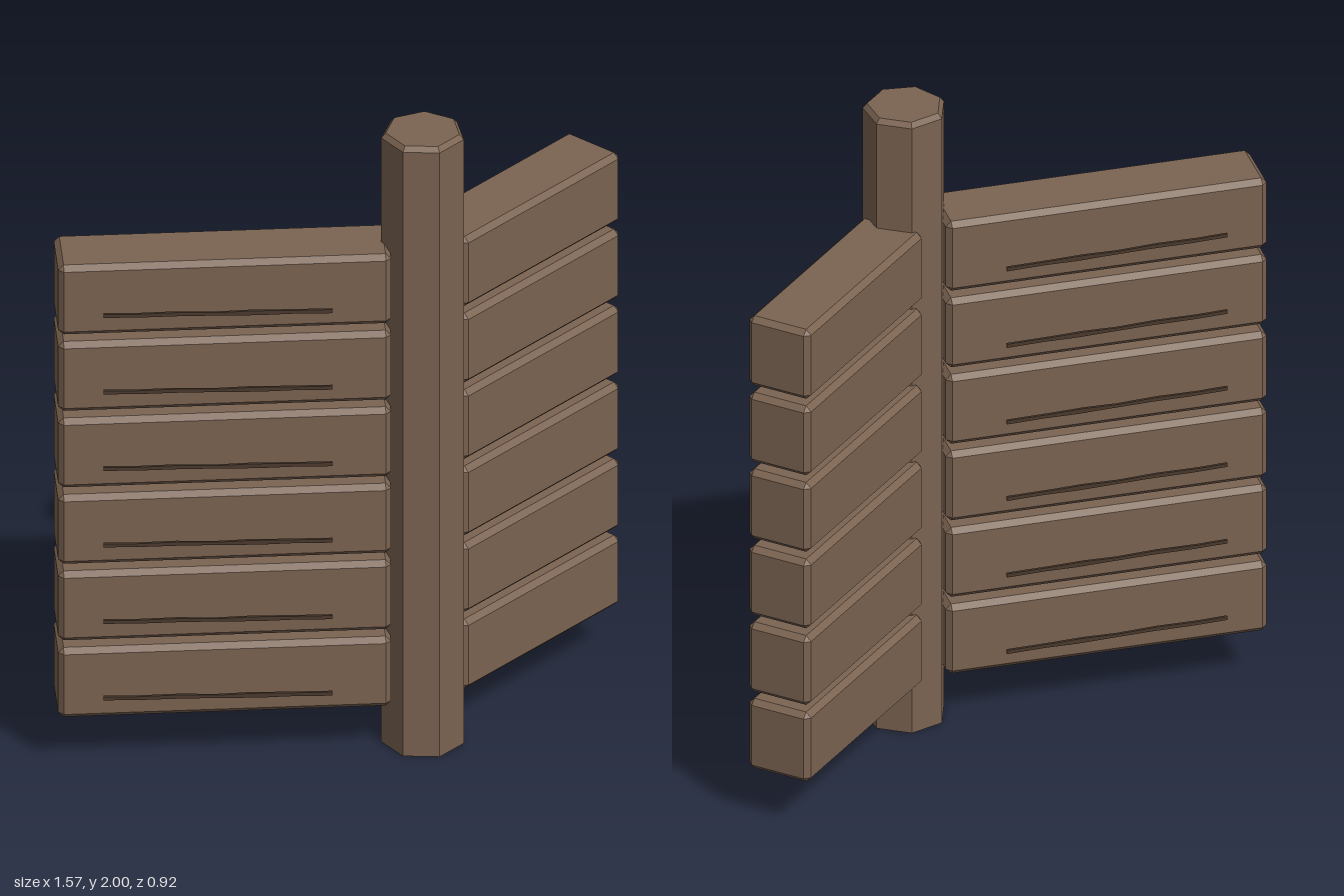
import * as THREE from 'three';
import { ConvexGeometry } from 'three/addons/geometries/ConvexGeometry.js';

const wood = new THREE.MeshStandardMaterial({ color: 0x7b6351 });
wood.name = 'wood';
const darkGrain = new THREE.MeshStandardMaterial({ color: 0x4a392d });
darkGrain.name = 'darkGrain';

// Box with every edge chamfered by b
function chamferedBox(w, h, d, b) {
  const points = [];
  for (const x of [-w / 2, w / 2]) for (const y of [-h / 2, h / 2]) for (const z of [-d / 2, d / 2]) {
    const ix = x - Math.sign(x) * b, iy = y - Math.sign(y) * b, iz = z - Math.sign(z) * b;
    points.push(
      new THREE.Vector3(x, iy, iz),
      new THREE.Vector3(ix, y, iz),
      new THREE.Vector3(ix, iy, z));
  }
  return new ConvexGeometry(points);
}

// Seven-sided post with a small chamfer round the top
function postGeometry() {
  const points = [];
  for (const [r, y] of [[0.122, 0], [0.122, 1.985], [0.109, 2]]) {
    for (let i = 0; i < 7; i++) {
      const a = Math.PI + (i / 7) * Math.PI * 2;
      points.push(new THREE.Vector3(Math.sin(a) * r, y, Math.cos(a) * r));
    }
  }
  return new ConvexGeometry(points);
}

// Thin, uneven grain stroke
function grainGeometry() {
  const top = [[-0.33, 0.011], [-0.24, 0.008], [-0.12, 0.009], [0.0, 0.004], [0.1, 0.006], [0.2, 0.003], [0.33, 0.001]];
  const bottom = [[0.33, -0.011], [0.22, -0.008], [0.12, -0.009], [0.02, -0.006], [-0.1, -0.003], [-0.22, -0.003], [-0.33, 0]];
  const shape = new THREE.Shape([...top, ...bottom].map(([x, y]) => new THREE.Vector2(x, y)));
  const geometry = new THREE.ExtrudeGeometry(shape, { depth: 0.008, bevelEnabled: false });
  return geometry.translate(0, 0, -0.004);
}

export function createModel() {
  const model = new THREE.Group();
  model.name = 'fenceCorner';
  const add = (parent, name, geometry, material, x, y, z) => {
    const mesh = new THREE.Mesh(geometry, material);
    mesh.name = name;
    mesh.position.set(x, y, z);
    parent.add(mesh);
  };

  add(model, 'post', postGeometry(), wood, 0.024, 0, 0.35);

  // Two fence wings: one straight out to the side, one angled backwards
  const straightWing = new THREE.Group();
  straightWing.name = 'straightWing';
  straightWing.position.set(0.438, 0, 0.349);
  const angledWing = new THREE.Group();
  angledWing.name = 'angledWing';
  angledWing.position.set(-0.384, 0, -0.059);
  angledWing.rotation.y = -Math.PI / 4;
  model.add(straightWing, angledWing);

  const shortBoard = chamferedBox(0.69, 0.228, 0.202, 0.016);
  const longBoard = chamferedBox(0.96, 0.228, 0.202, 0.016);
  const grain = grainGeometry();
  for (let i = 0; i < 6; i++) {
    const y = 0.272 + i * 0.2515;
    add(straightWing, 'shortBoard', shortBoard, wood, 0, y, 0);
    add(angledWing, 'longBoard', longBoard, wood, 0, y, 0);
    // Grain strokes stand just off both faces of the long boards
    for (const side of [-1, 1]) add(angledWing, 'grainStroke', grain, darkGrain, -0.022, y - 0.042, side * 0.122);
  }
  return model;
}
